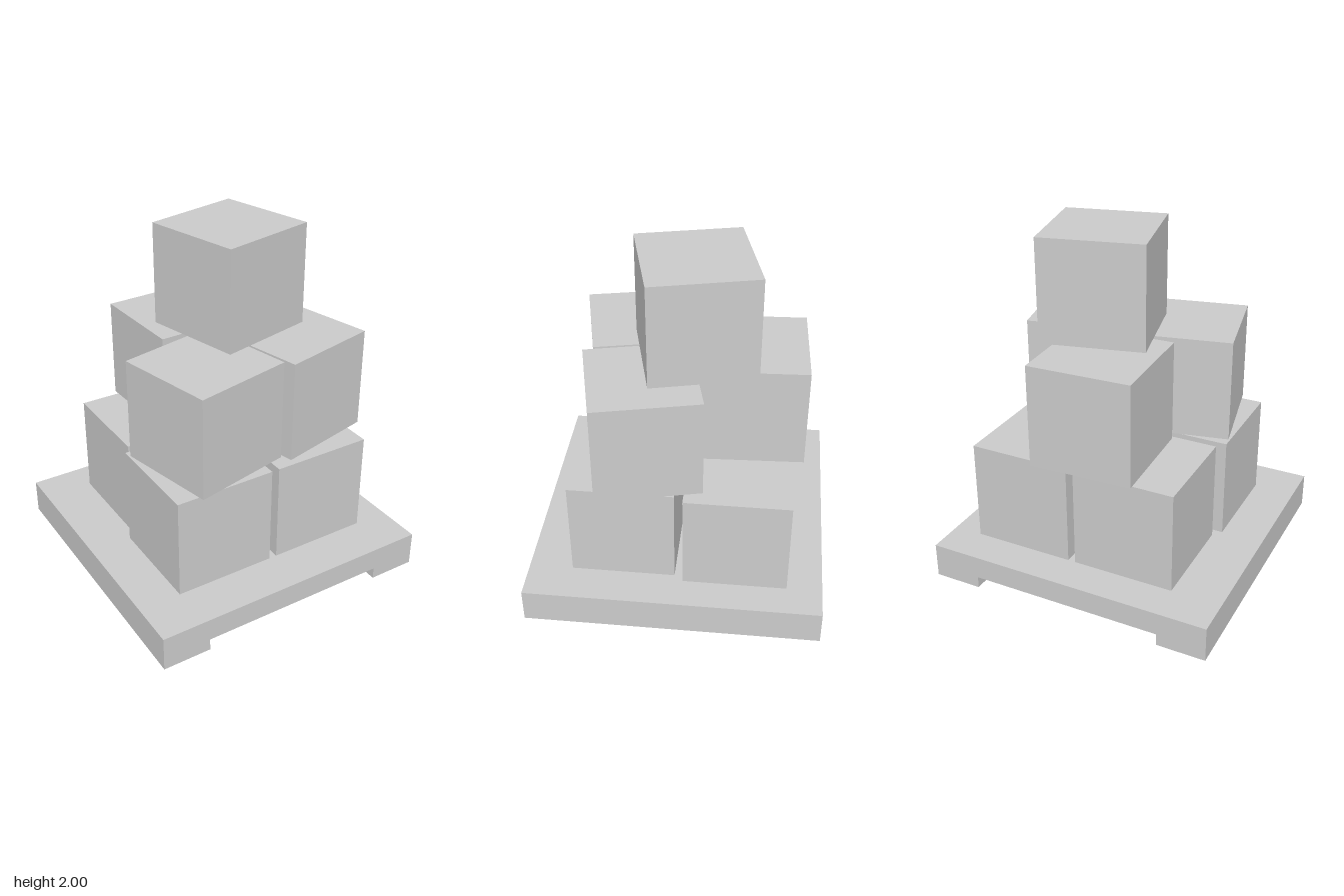
import * as THREE from 'three';

export function createModel() {
  const model = new THREE.Group();
  const material = new THREE.MeshStandardMaterial({ color: 0xcccccc, flatShading: true });

  // Pallet: a slab with two runners, extruded front to back
  const w = 0.845, inner = 0.563, top = 0.205, runner = 0.07;
  const profile = new THREE.Shape([
    [-w, 0], [-inner, 0], [-inner, runner], [inner, runner],
    [inner, 0], [w, 0], [w, top], [-w, top],
  ].map(([x, y]) => new THREE.Vector2(x, y)));
  const palletGeometry = new THREE.ExtrudeGeometry(profile, { depth: 2 * w, bevelEnabled: false });
  palletGeometry.translate(0, 0, -w);
  const pallet = new THREE.Mesh(palletGeometry, material);
  pallet.name = 'pallet';
  model.add(pallet);

  // Stacked crates: name, x, z, layer, turn in degrees
  const size = 0.592;
  const crateGeometry = new THREE.BoxGeometry(size, size, size);
  const layerBottoms = [0.213, 0.81, 1.408];
  const crates = [
    ['lowerFrontRightCrate', -0.305, 0.295, 0, 0],
    ['lowerFrontLeftCrate', 0.333, 0.295, 0, 0],
    ['lowerBackRightCrate', -0.262, -0.347, 0, 0],
    ['lowerBackLeftCrate', 0.373, -0.347, 0, 0],
    ['middleFrontRightCrate', -0.242, 0.275, 1, 12.3],
    ['middleFrontLeftCrate', 0.363, 0.2, 1, 13],
    ['middleBackCrate', -0.018, -0.388, 1, 2.5],
    ['topCrate', 0.127, -0.07, 2, 13.5],
  ];
  for (const [name, x, z, layer, turn] of crates) {
    const crate = new THREE.Mesh(crateGeometry, material);
    crate.name = name;
    crate.position.set(x, layerBottoms[layer] + size / 2, z);
    crate.rotation.y = THREE.MathUtils.degToRad(turn);
    model.add(crate);
  }
  return model;
}
